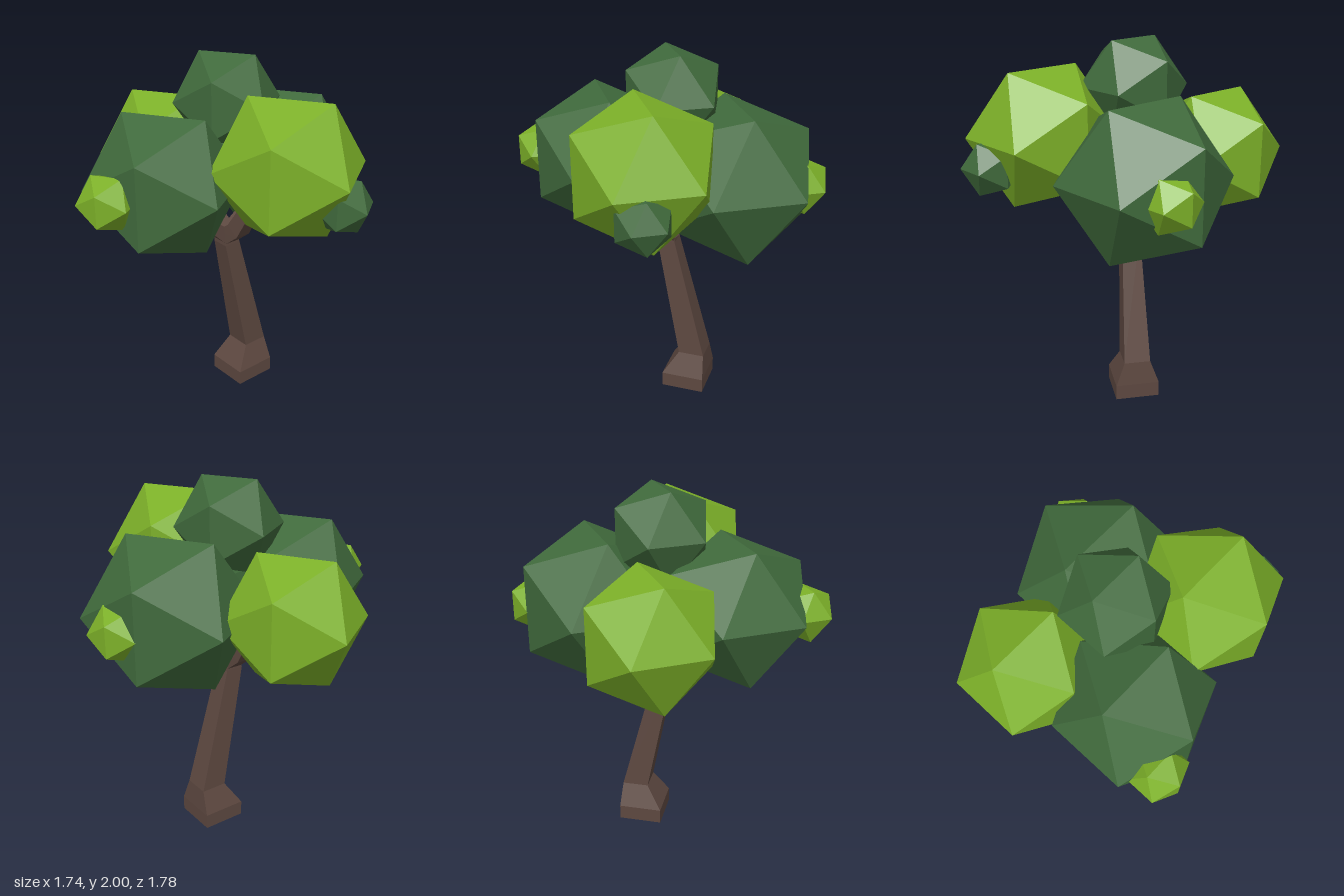
import * as THREE from 'three';

const bark = new THREE.MeshStandardMaterial({ color: 0x5d4840, flatShading: true });
const darkLeaf = new THREE.MeshStandardMaterial({ color: 0x406a3c, flatShading: true });
const limeLeaf = new THREE.MeshStandardMaterial({ color: 0x7cb028, flatShading: true });

// Square-section limb lying in the xy plane; each section is [x, y, halfWidth, tilt from level]
function limb(name, sections) {
  const pos = [];
  const index = [];
  for (const [x, y, h, tilt] of sections) {
    const c = Math.cos(tilt) * h;
    const s = Math.sin(tilt) * h;
    for (const [u, v] of [[1, 1], [1, -1], [-1, -1], [-1, 1]]) pos.push(x + u * c, y - u * s, v * h);
  }
  for (let i = 0; i < sections.length - 1; i++) {
    for (let k = 0; k < 4; k++) {
      const a = i * 4 + k;
      const b = i * 4 + (k + 1) % 4;
      index.push(a, b, b + 4, a, b + 4, a + 4);
    }
  }
  // End caps
  const t = (sections.length - 1) * 4;
  index.push(0, 2, 1, 0, 3, 2, t, t + 1, t + 2, t, t + 2, t + 3);
  const indexed = new THREE.BufferGeometry();
  indexed.setAttribute('position', new THREE.Float32BufferAttribute(pos, 3));
  indexed.setIndex(index);
  const geometry = indexed.toNonIndexed();
  geometry.computeVertexNormals();
  const mesh = new THREE.Mesh(geometry, bark);
  mesh.name = name;
  return mesh;
}

// Icosahedron with one corner toward +z and a neighbouring ring corner toward +x
function foliage(name, material, radius, x, y, z) {
  const geometry = new THREE.IcosahedronGeometry(radius, 0);
  geometry.rotateX(Math.atan(2 / (1 + Math.sqrt(5))));
  geometry.rotateZ(Math.PI / 2);
  const mesh = new THREE.Mesh(geometry, material);
  mesh.name = name;
  mesh.position.set(x, y, z);
  return mesh;
}

export function createModel() {
  const tree = new THREE.Group();
  tree.name = 'tree';

  // Leaning trunk with a flared foot
  const trunk = limb('trunk', [
    [0.147, 0, 0.123, 0],
    [0.147, 0.085, 0.123, 0],
    [0.185, 0.22, 0.074, 0],
    [0.022, 0.93, 0.05, 0],
    [0.02, 1.0, 0.045, 0],
  ]);
  trunk.position.z = -0.012;
  tree.add(trunk);

  // Four branches: bent ones front and back, straight ones to the sides
  const bent = [[0, 0.965, 0.048, 0.9], [0.1, 1.04, 0.046, 0.6], [0.3, 1.36, 0.03, 0.5]];
  const straight = [[0, 0.96, 0.04, 0.85], [0.13, 1.07, 0.032, 0.85], [0.3, 1.23, 0.025, 0.85]];
  const branches = [
    ['leftBranch', straight, 0],
    ['backBranch', bent, Math.PI / 2],
    ['rightBranch', straight, Math.PI],
    ['frontBranch', bent, -Math.PI / 2],
  ];
  for (const [name, sections, turn] of branches) {
    const branch = limb(name, sections);
    branch.position.set(0.02, 0, -0.012);
    branch.rotation.y = turn;
    tree.add(branch);
  }

  // Leaf clumps: name, material, radius, centre
  const clumps = [
    ['leftFoliage', darkLeaf, 0.465, 0.395, 1.34, -0.018],
    ['rightFoliage', darkLeaf, 0.43, -0.37, 1.375, -0.047],
    ['topFoliage', darkLeaf, 0.29, 0.035, 1.753, -0.03],
    ['frontFoliage', limeLeaf, 0.412, 0.037, 1.51, 0.444],
    ['backFoliage', limeLeaf, 0.385, -0.02, 1.363, -0.505],
    ['smallLeftFoliage', limeLeaf, 0.16, 0.727, 1.327, -0.07],
    ['smallRightFoliage', limeLeaf, 0.16, -0.73, 1.377, -0.03],
    ['smallFrontFoliage', darkLeaf, 0.16, 0.135, 1.377, 0.73],
  ];
  for (const clump of clumps) tree.add(foliage(...clump));

  return tree;
}
